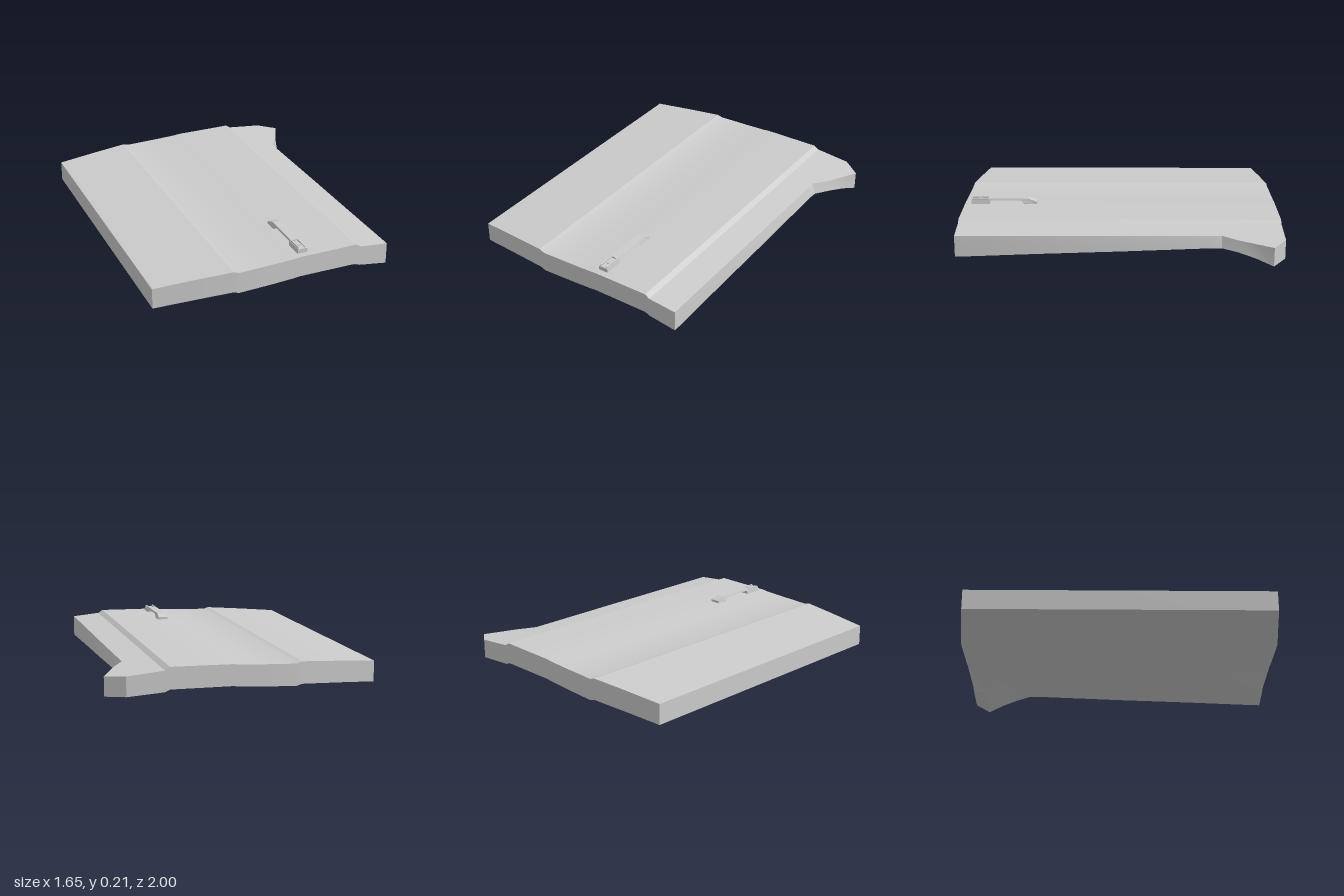
import * as THREE from 'three';
import { toCreasedNormals } from 'three/addons/utils/BufferGeometryUtils.js';

const grey = new THREE.MeshStandardMaterial({ color: 0xcccccc });

// Columns across the panel: x, top height, height of the lower rim at the two ends
const columns = [
  [-0.825, 0.13, 0.002], [-0.6, 0.148, 0.016], [-0.345, 0.165, 0.03], [-0.31, 0.154, 0.02],
  [-0.1, 0.162, 0.03], [0.04, 0.169, 0.039], [0.08, 0.174, 0.044], [0.28, 0.177, 0.046],
  [0.455, 0.18, 0.048], [0.485, 0.16, 0.034],
];
// Rows along the panel: z, x of upper side edge, x of lower side edge, height of lower side edge
const rows = [
  [-1, 0.71, 0.71, 0.02], [-0.92, 0.822, 0.822, 0.012], [-0.82, 0.772, 0.78, 0.045],
  [-0.72, 0.722, 0.74, 0.068], [-0.62, 0.655, 0.678, 0.073], [-0.56, 0.655, 0.673, 0.071],
  [0, 0.66, 0.671, 0.048], [0.5, 0.662, 0.668, 0.03], [0.96, 0.665, 0.666, 0.011], [1, 0.665, 0.665, 0.01],
];

function mesh(name, geometry) {
  const m = new THREE.Mesh(geometry, grey);
  m.name = name;
  return m;
}

// Closed cross-section for one row: top from left to right, then underside back again
function section([z, xTop, xLow, yLow], isEnd) {
  const taper = x => z * (1 - 0.06 * Math.max(0, (-0.32 - x) / 0.505));
  const top = columns.map(([x, y]) => [x, y, taper(x)]);
  top.push([xTop, 0.16 - 0.09 * (xTop - 0.485), z]);
  const low = columns.map(([x, , rim]) => {
    const t = (x - 0.08) / (xLow - 0.08);
    const flat = t > 0 ? THREE.MathUtils.lerp(0.044, yLow, t) : 0.002 + 0.042 * (x + 0.825) / 0.905;
    return [x, isEnd ? rim : flat, taper(x)];
  });
  low.push([xLow, yLow, z]);
  return [...top, ...low.reverse()];
}

function panelGeometry() {
  const sections = rows.map((r, i) => section(r, i === 0 || i === rows.length - 1));
  const n = sections[0].length;
  const index = [];
  for (let r = 0; r < sections.length - 1; r++) {
    for (let c = 0; c < n; c++) {
      const a = r * n + c, b = r * n + (c + 1) % n;
      index.push(a, a + n, b, b, a + n, b + n);
    }
  }
  // End faces
  const last = (sections.length - 1) * n;
  for (let c = 0; c < n / 2 - 1; c++) {
    const d = n - 1 - c;
    index.push(c, c + 1, d, c + 1, d - 1, d);
    index.push(last + c, last + d, last + c + 1, last + c + 1, last + d, last + d - 1);
  }
  const g = new THREE.BufferGeometry();
  g.setAttribute('position', new THREE.Float32BufferAttribute(sections.flat(2), 3));
  g.setIndex(index);
  return toCreasedNormals(g, 0.35);
}

// Side profile in (z, y) extruded across x, narrowing slightly towards the top
function bar(name, points, x0, x1, narrowing = 0) {
  const shape = new THREE.Shape(points.map(([z, y]) => new THREE.Vector2(-z, y)));
  const g = new THREE.ExtrudeGeometry(shape, { depth: x1 - x0, bevelEnabled: false });
  g.rotateY(Math.PI / 2);
  g.translate(x0, 0, 0);
  const p = g.attributes.position, mid = (x0 + x1) / 2;
  for (let i = 0; i < p.count; i++) {
    const k = 1 - narrowing * THREE.MathUtils.clamp((p.getY(i) - 0.185) / 0.025, 0, 1);
    p.setX(i, mid + (p.getX(i) - mid) * k);
  }
  g.computeVertexNormals();
  return mesh(name, g);
}

function createHandle() {
  const handle = new THREE.Group();
  handle.name = 'handle';
  // Arched grip with a hand gap beneath
  handle.add(bar('grip', [
    [0.85, 0.17], [0.84, 0.186], [0.83, 0.198], [0.64, 0.198], [0.625, 0.186], [0.61, 0.17],
    [0.535, 0.17], [0.535, 0.19], [0.59, 0.21], [0.85, 0.21],
  ], 0.083, 0.15, 0.2));
  // Lock end: low block with a raised rail on each side
  handle.add(bar('lockBlock', [[0.957, 0.17], [0.84, 0.17], [0.84, 0.201], [0.957, 0.201]], 0.083, 0.15, 0.2));
  for (const x of [0.09, 0.133]) {
    handle.add(bar('lockRail', [[0.957, 0.198], [0.85, 0.198], [0.85, 0.21], [0.95, 0.21]], x, x + 0.01));
  }
  const lock = mesh('lockBarrel', new THREE.CylinderGeometry(0.014, 0.014, 0.008, 20));
  lock.position.set(0.1165, 0.202, 0.9);
  handle.add(lock);
  return handle;
}

export function createModel() {
  const model = new THREE.Group();
  model.name = 'doorPanel';
  model.add(mesh('panel', panelGeometry()), createHandle());
  return model;
}
